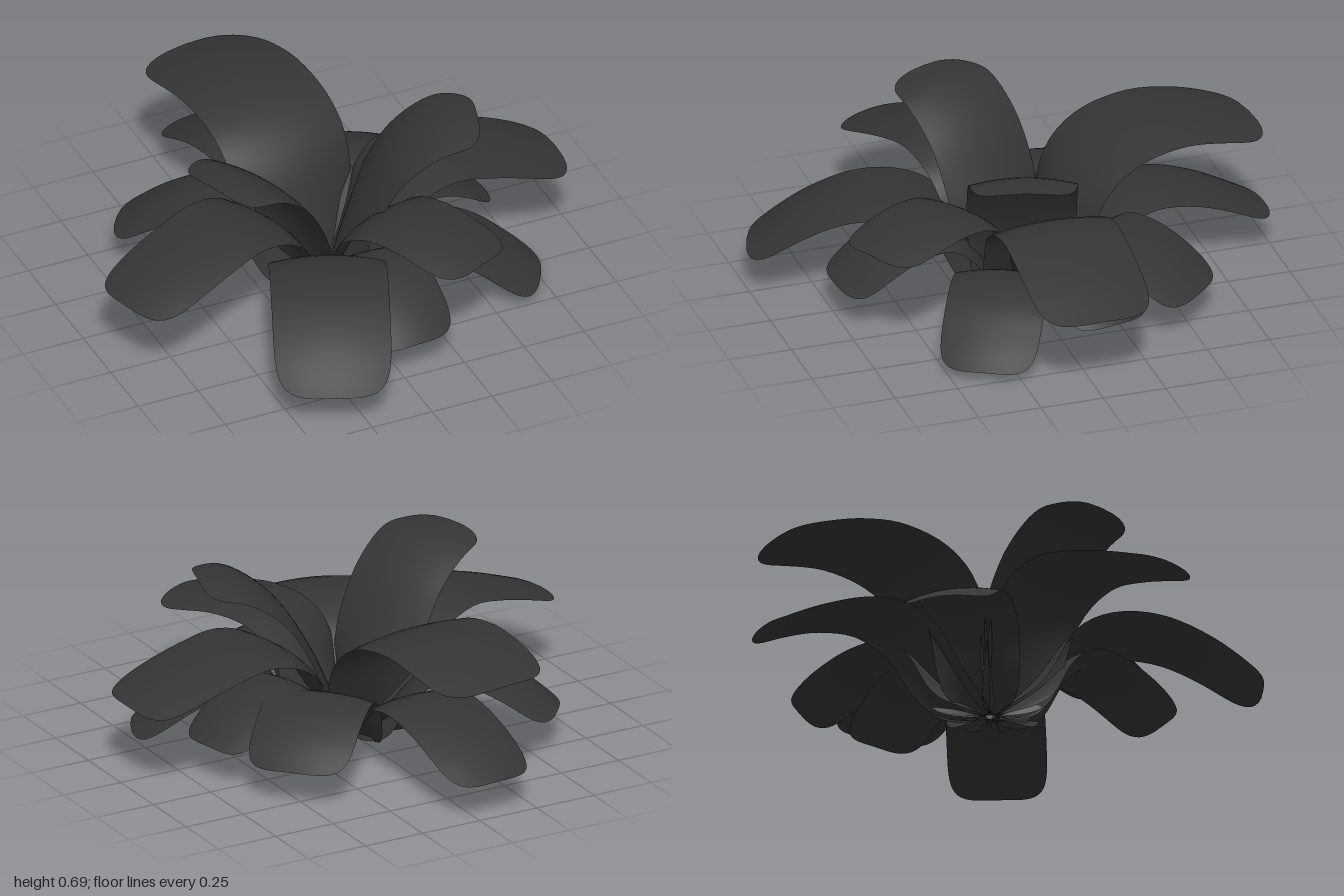
import * as THREE from 'three';

// Midrib profiles as [fraction of reach, height]
const PROFILES = {
  upright: [[0.03, 0], [0.11, 0.16], [0.27, 0.38], [0.48, 0.57], [0.75, 0.68], [1, 0.69]],
  tallBack: [[0.02, 0], [0.09, 0.17], [0.21, 0.42], [0.36, 0.54], [0.58, 0.59], [0.78, 0.57], [1, 0.51]],
  spreading: [[0.02, 0], [0.1, 0.14], [0.22, 0.34], [0.32, 0.42], [0.47, 0.46], [0.62, 0.44], [0.82, 0.385], [1, 0.315]],
  frontRight: [[0.02, 0], [0.12, 0.14], [0.25, 0.34], [0.4, 0.43], [0.6, 0.46], [0.8, 0.445], [1, 0.41]],
  arching: [[0.02, 0], [0.14, 0.12], [0.28, 0.3], [0.44, 0.37], [0.62, 0.365], [0.8, 0.29], [1, 0.15]],
  drooping: [[0.02, 0], [0.16, 0.1], [0.31, 0.24], [0.46, 0.31], [0.64, 0.3], [0.82, 0.24], [1, 0.145]],
  lowest: [[0.02, 0], [0.17, 0.08], [0.32, 0.19], [0.49, 0.235], [0.68, 0.21], [0.85, 0.13], [1, 0.04]],
};

// name, tip x, tip z, width, profile
const LEAVES = [
  ['upperLeafRight', -0.55, 0.2, 0.42, 'upright'],
  ['upperLeafLeft', 0.57, 0.17, 0.42, 'upright'],
  ['tallBackLeaf', -0.13, -0.96, 0.52, 'tallBack'],
  ['wideLeafRight', -0.955, 0.28, 0.42, 'spreading'],
  ['wideLeafLeft', 0.98, -0.01, 0.46, 'spreading'],
  ['frontLeafLeft', 0.35, 0.72, 0.38, 'frontRight'],
  ['frontLeafRight', -0.39, 0.965, 0.45, 'arching'],
  ['lowFrontLeaf', 0.05, 0.76, 0.39, 'drooping'],
  ['lowBackLeaf', -0.09, -1, 0.38, 'drooping'],
  ['lowBackLeafRight', -0.63, -0.5, 0.35, 'drooping'],
  ['lowBackLeafLeft', 0.56, -0.54, 0.41, 'drooping'],
  ['lowSideLeaf', 0.71, -0.15, 0.36, 'drooping'],
  ['lowestLeaf', 0.735, 0.39, 0.38, 'lowest'],
];

// A rounded strip swept along the midrib; its edges bend down, and fold outward near the base
function leafGeometry(reach, width, profile) {
  const rows = 40, cols = 14;
  const midrib = new THREE.CatmullRomCurve3(
    profile.map(([r, y]) => new THREE.Vector3(0, y, r * reach)));
  const geometry = new THREE.PlaneGeometry(1, 1, cols, rows);
  const position = geometry.attributes.position;
  for (let i = 0; i <= rows; i++) {
    const t = (1 - Math.cos(Math.PI * i / rows)) / 2;
    const p = midrib.getPointAt(t), d = midrib.getTangentAt(t);
    const rounding = Math.max(0, 1 - Math.abs(2 * t - 1) ** 9) ** 0.3;
    const half = width / 2 * rounding * (0.88 + 0.12 * Math.min(1, t * 2.5));
    for (let j = 0; j <= cols; j++) {
      const u = j / cols * 2 - 1;
      const edge = (u * rounding) ** 2;
      const drop = 0.035 * t * edge;
      const fold = 0.14 * (1 - t) ** 4 * edge;
      position.setXYZ(i * (cols + 1) + j, u * half, p.y - drop * d.z, p.z + drop * d.y + fold);
    }
  }
  geometry.computeVertexNormals();
  return geometry;
}

export function createModel() {
  const plant = new THREE.Group();
  plant.name = 'leafRosette';
  const material = new THREE.MeshStandardMaterial({ color: 0x353535, side: THREE.DoubleSide });

  for (const [name, x, z, width, profile] of LEAVES) {
    const leaf = new THREE.Mesh(leafGeometry(Math.hypot(x, z), width, PROFILES[profile]), material);
    leaf.name = name;
    leaf.rotation.y = Math.atan2(x, z);
    plant.add(leaf);
  }
  return plant;
}
